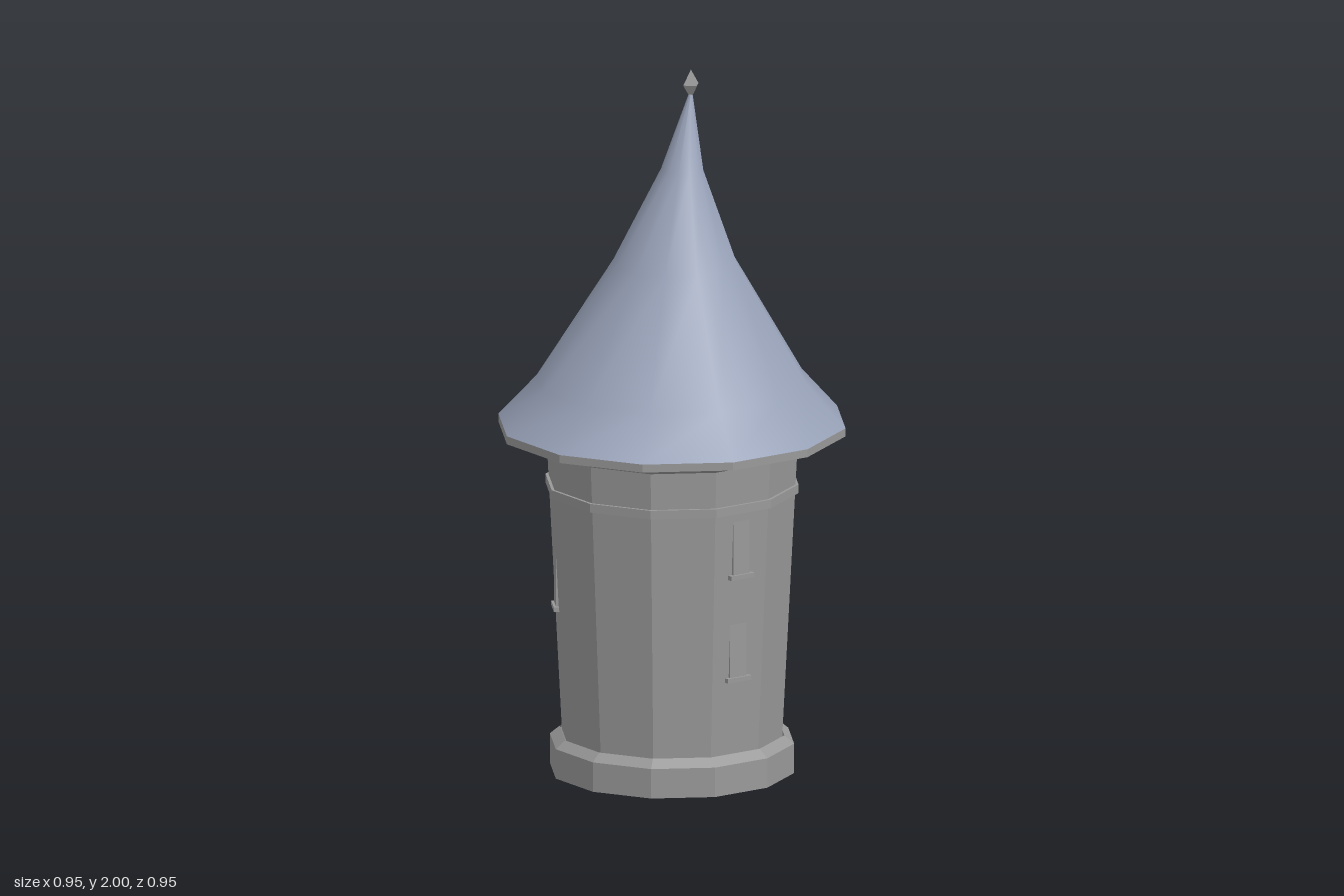
import * as THREE from 'three';

const SIDES = 12;
const stone = new THREE.MeshStandardMaterial({ color: 0x999999, side: THREE.DoubleSide });
stone.name = 'grey stone';
const slate = new THREE.MeshStandardMaterial({ color: 0x98a2b8, side: THREE.DoubleSide });
slate.name = 'blue slate';

// Skin of twelve-sided rings, each row [y, half width across flats, centre x, centre z]
function ringSkin(rows, smooth = false) {
  const pos = [], index = [];
  for (const [y, apothem, cx = 0, cz = 0] of rows) {
    const r = apothem / Math.cos(Math.PI / SIDES);
    for (let i = 0; i < SIDES; i++) {
      const a = ((i + 0.5) / SIDES) * Math.PI * 2;
      pos.push(cx + Math.sin(a) * r, y, cz + Math.cos(a) * r);
    }
  }
  for (let j = 0; j < rows.length - 1; j++) {
    for (let i = 0; i < SIDES; i++) {
      const a = j * SIDES + i, b = j * SIDES + ((i + 1) % SIDES);
      index.push(a, b, b + SIDES, a, b + SIDES, a + SIDES);
    }
  }
  let geo = new THREE.BufferGeometry();
  geo.setAttribute('position', new THREE.Float32BufferAttribute(pos, 3));
  geo.setIndex(index);
  if (!smooth) geo = geo.toNonIndexed();
  geo.computeVertexNormals();
  return geo;
}

const wallAt = (y) => 0.302 + ((y - 0.1) / 0.84) * 0.042;

export function createModel() {
  const model = new THREE.Group();
  model.name = 'tower';
  const add = (name, geo, mat, parent = model) => {
    const mesh = new THREE.Mesh(geo, mat);
    mesh.name = name;
    parent.add(mesh);
    return mesh;
  };

  // Hollow stone body
  add('base', ringSkin([[0, 0.335], [0.085, 0.335], [0.108, 0.308]]), stone);
  add('wall', ringSkin([[0.1, wallAt(0.1)], [0.94, wallAt(0.94)]]), stone);
  add('stringCourse', ringSkin([[0.81, 0.33], [0.81, 0.347], [0.835, 0.347], [0.835, 0.33]]), stone);
  add('cornice', ringSkin([[0.94, 0.344], [0.965, 0.388], [0.985, 0.39]]), stone);

  // Roof leaning towards its tip
  add('eaves', ringSkin([[0.98, 0.476], [1.003, 0.476]]), stone);
  add('roof', ringSkin([
    [1.003, 0.476],
    [1.12, 0.372, 0.002, 0],
    [1.46, 0.17, 0.015, -0.005],
    [1.72, 0.058, 0.047, -0.017],
    [1.935, 0.004, 0.086, -0.03],
  ], true), slate);

  // Pointed finial
  const finial = add('finial', new THREE.OctahedronGeometry(1), stone);
  finial.scale.set(0.026, 0.043, 0.026);
  finial.position.set(0.086, 1.957, -0.03);

  // Slit windows: upright plate with a sill, [angle from front in degrees, sill height]
  for (const [deg, y] of [[0, 0.625], [0, 0.325], [120, 0.475], [-120, 0.475]]) {
    const slit = new THREE.Group();
    slit.name = 'window';
    slit.rotation.y = THREE.MathUtils.degToRad(deg);
    const face = wallAt(y);
    add('windowPlate', new THREE.BoxGeometry(0.056, 0.17, 0.009), stone, slit)
      .position.set(0, y + 0.085, face + 0.0035);
    add('windowSill', new THREE.BoxGeometry(0.08, 0.013, 0.03), stone, slit)
      .position.set(0, y, face);
    model.add(slit);
  }
  return model;
}
